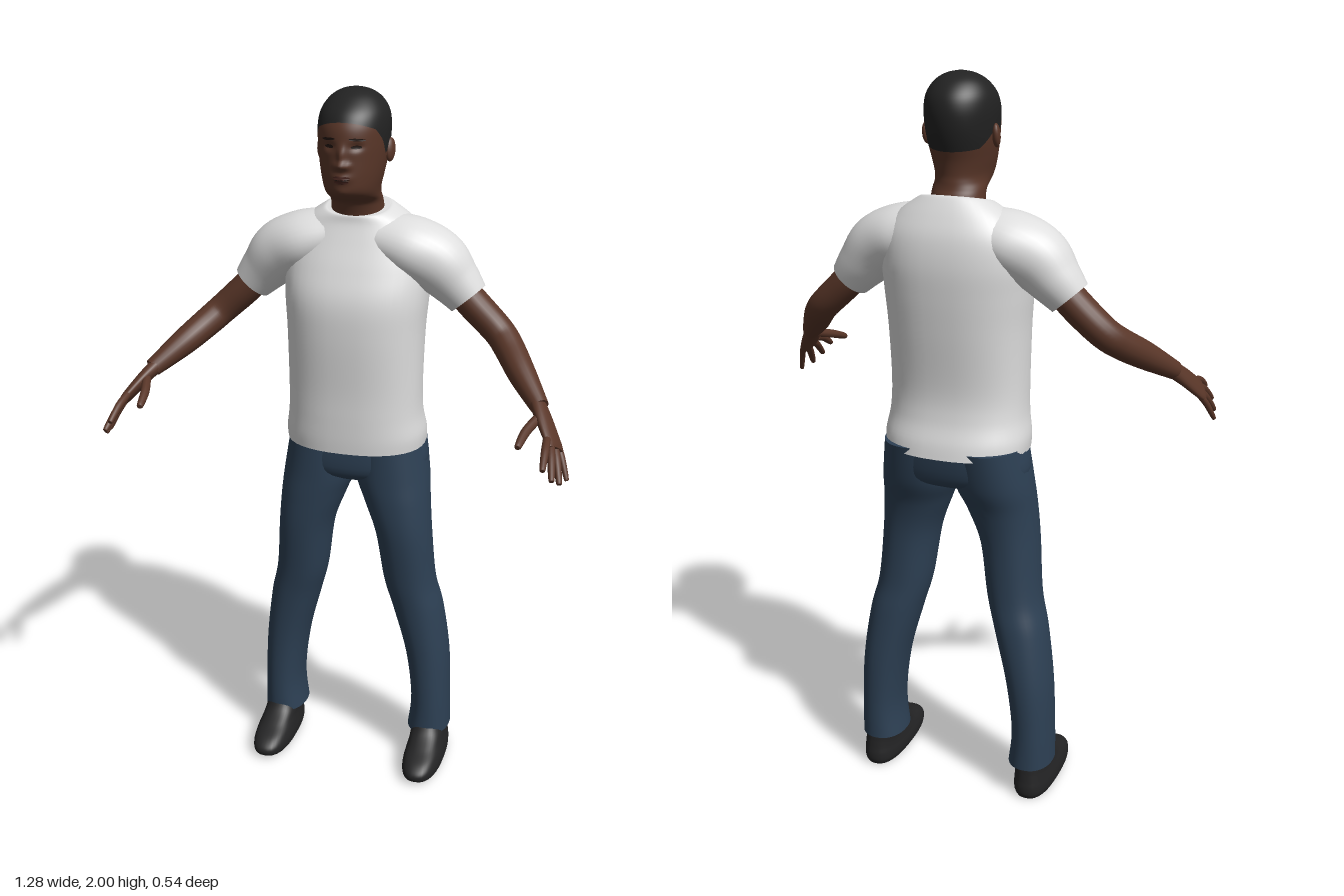
import * as THREE from 'three';

const mat = (name, color) => Object.assign(new THREE.MeshStandardMaterial({ color }), { name });

// Smooth numeric rows with a Catmull-Rom spline, k steps per span
function smooth(rows, k = 6) {
  const out = [], n = rows.length - 1;
  for (let i = 0; i < n; i++) {
    const [a, b, c, d] = [rows[Math.max(i - 1, 0)], rows[i], rows[i + 1], rows[Math.min(i + 2, n)]];
    for (let s = 0; s < k; s++) {
      const t = s / k;
      out.push(b.map((_, j) => {
        const cubic = 3 * (b[j] - c[j]) + d[j] - a[j];
        const square = 2 * a[j] - 5 * b[j] + 4 * c[j] - d[j];
        return b[j] + 0.5 * t * (c[j] - a[j] + t * (square + t * cubic));
      }));
    }
  }
  out.push(rows[n]);
  return out;
}

// Closed-around surface: fn(row, angle) gives a point, rows run upwards or outwards
function surface(rows, around, fn, side = 1) {
  const pos = [], index = [];
  for (let i = 0; i < rows; i++)
    for (let j = 0; j < around; j++) {
      const [x, y, z] = fn(i, j / around * Math.PI * 2);
      pos.push(x * side, y, z);
    }
  const tri = (a, b, c) => side > 0 ? index.push(a, b, c) : index.push(a, c, b);
  for (let i = 0; i < rows - 1; i++)
    for (let j = 0; j < around; j++) {
      const a = i * around + j, b = i * around + (j + 1) % around;
      tri(a, a + around, b);
      tri(a + around, b + around, b);
    }
  const g = new THREE.BufferGeometry();
  g.setAttribute('position', new THREE.Float32BufferAttribute(pos, 3));
  g.setIndex(index);
  g.computeVertexNormals();
  return g;
}

// Loft through rings {c, u, v, p}; both ends are closed with crisp caps
function loft(rings, around, side) {
  const dot = r => ({ ...r, u: new THREE.Vector3(), v: new THREE.Vector3() });
  const first = rings[0], last = rings[rings.length - 1];
  const all = [dot(first), first, ...rings, last, dot(last)];
  const pw = (n, p) => Math.sign(n) * Math.pow(Math.abs(n), 2 / p);
  return surface(all.length, around, (i, a) => {
    const { c, u, v, p } = all[i];
    return c.clone().addScaledVector(u, pw(Math.cos(a), p)).addScaledVector(v, pw(Math.sin(a), p)).toArray();
  }, side);
}

// Level rings: [y, xCentre, halfWidth, zFront, zBack, tilt]
function stack(rows, p = 2.3, side = 1) {
  return loft(smooth(rows).map(([y, x, w, f, b, tilt]) => ({
    c: new THREE.Vector3(x, y, (f + b) / 2),
    u: new THREE.Vector3(w, 0, 0),
    v: new THREE.Vector3(0, -tilt, (f - b) / 2), p,
  })), 40, side);
}

// Limb along a path: [x, y, z, radius along ref, other radius]
function limb(rows, ref, side, around = 20) {
  const pts = smooth(rows), V = r => new THREE.Vector3(r[0], r[1], r[2]);
  return loft(pts.map((r, i) => {
    const t = V(pts[Math.min(i + 1, pts.length - 1)]).sub(V(pts[Math.max(i - 1, 0)])).normalize();
    const u = ref.clone().addScaledVector(t, -ref.dot(t)).normalize();
    const v = u.clone().cross(t);
    return { c: V(r), u: u.multiplyScalar(r[3]), v: v.multiplyScalar(r[4]), p: 2 };
  }), around, side);
}

// Head profile: [y, halfWidth, zFront, zBack]
const HEAD = smooth([
  [1.63, 0.075, -0.06, -0.19], [1.69, 0.071, -0.045, -0.178], [1.712, 0.07, -0.03, -0.17],
  [1.73, 0.07, 0.015, -0.167], [1.75, 0.073, 0.038, -0.166], [1.785, 0.081, 0.042, -0.172],
  [1.83, 0.089, 0.042, -0.188], [1.87, 0.093, 0.042, -0.198], [1.91, 0.094, 0.037, -0.2],
  [1.945, 0.087, 0.018, -0.19], [1.975, 0.066, -0.018, -0.163], [1.993, 0.036, -0.055, -0.128],
  [2, 0, -0.092, -0.092]]);
function headRow(y) {
  let i = 1;
  while (i < HEAD.length - 1 && HEAD[i][0] < y) i++;
  const a = HEAD[i - 1], b = HEAD[i], t = Math.min(1, (y - a[0]) / (b[0] - a[0]));
  return a.map((n, j) => n + (b[j] - n) * t);
}
// Nose, nostrils, lips, chin and eye sockets: [x, y, depth, xSpread, ySpread]
const BUMPS = [[0, 1.818, 0.019, 0.013, 0.011], [0, 1.843, 0.012, 0.009, 0.02], [0, 1.785, 0.007, 0.022, 0.011],
  [0.016, 1.815, 0.006, 0.008, 0.008], [-0.016, 1.815, 0.006, 0.008, 0.008],
  [0.036, 1.864, -0.008, 0.015, 0.01], [-0.036, 1.864, -0.008, 0.015, 0.01], [0, 1.745, 0.004, 0.02, 0.012]];
const relief = (x, y) => BUMPS.reduce((sum, [bx, by, d, sx, sy]) => {
  const dx = (x - bx) / sx, dy = (y - by) / sy;
  return sum + d * Math.exp(-dx * dx - dy * dy);
}, 0);
function headPoint(y, a) {
  const [, w, f, b] = headRow(y), x = w * Math.cos(a), s = Math.sin(a);
  const bump = s > 0 ? relief(x, y) * Math.min(1, s * 2) : 0;
  return [x, y, (f + b) / 2 + (f - b) / 2 * s + bump];
}
const faceZ = (x, y) => headPoint(y, Math.acos(x / headRow(y)[1]))[2];

// Hairline height by how far forward the point lies (1 front, -1 back)
const LINE = [[-1, 1.808], [-0.6, 1.815], [-0.2, 1.852], [0, 1.846], [0.15, 1.838], [0.35, 1.875],
  [0.6, 1.905], [1, 1.924]];
function hairline(a) {
  const s = Math.sin(a);
  const i = Math.max(1, LINE.findIndex(l => l[0] >= s - 1e-9));
  const [p, q] = [LINE[i - 1], LINE[i]];
  return p[1] + (q[1] - p[1]) * (s - p[0]) / (q[0] - p[0]);
}

export function createModel() {
  const skin = mat('skin', 0x593628), hair = mat('hair', 0x222222), cotton = mat('white cotton', 0xdedede);
  const denim = mat('blue denim', 0x2d4054), leather = mat('black leather', 0x242425);
  const dark = mat('eye and brow', 0x20140f), lip = mat('lips', 0x4a2720);
  const model = new THREE.Group();
  model.name = 'standingMan';
  const add = (name, geometry, material, parent = model) => {
    const m = new THREE.Mesh(geometry, material);
    m.name = name;
    parent.add(m);
    return m;
  };

  // Head, split along the hairline
  const head = new THREE.Group();
  head.name = 'head';
  model.add(head);
  add('faceAndNeck', surface(64, 96, (i, a) =>
    headPoint(1.63 + (hairline(a) - 1.63) * i / 63, a)), skin, head);
  add('hairCap', surface(28, 96, (i, a) =>
    headPoint(2 - (2 - hairline(a)) * (1 - i / 27) ** 2, a)), hair, head);
  const patch = (name, x, y, w, h, tilt, material) => {
    const g = new THREE.CircleGeometry(1, 20).scale(w, h, 1).rotateZ(tilt).translate(x, y, 0);
    const p = g.attributes.position;
    for (let i = 0; i < p.count; i++) p.setZ(i, faceZ(p.getX(i), p.getY(i)) + 0.0025);
    g.computeVertexNormals();
    add(name, g, material, head);
  };
  patch('upperLip', 0, 1.787, 0.023, 0.005, 0, lip);
  patch('lowerLip', 0, 1.776, 0.02, 0.005, 0, lip);
  patch('mouthLine', 0, 1.7815, 0.023, 0.0013, 0, dark);
  for (const s of [1, -1]) {
    patch('eye', s * 0.036, 1.864, 0.013, 0.0045, 0, dark);
    patch('eyebrow', s * 0.038, 1.883, 0.02, 0.0035, s * -0.08, dark);
    const ear = add('ear', new THREE.SphereGeometry(1, 16, 12), skin, head);
    ear.scale.set(0.011, 0.031, 0.019);
    ear.position.set(s * 0.094, 1.843, -0.088);
    ear.rotation.set(-0.2, s * -0.25, 0);
  }

  // Shirt body
  add('shirtBody', stack([
    [1.022, 0, 0.198, 0.034, -0.27, 0], [1.06, 0, 0.199, 0.036, -0.262, 0], [1.12, 0, 0.19, 0.037, -0.243, 0],
    [1.2, 0, 0.188, 0.038, -0.236, 0], [1.35, 0, 0.191, 0.045, -0.25, 0], [1.45, 0, 0.198, 0.04, -0.258, 0],
    [1.53, 0, 0.2, 0.012, -0.26, 0], [1.6, 0, 0.188, -0.02, -0.25, 0], [1.65, 0, 0.15, -0.04, -0.228, 0.004],
    [1.683, 0, 0.1, -0.045, -0.203, 0.014], [1.687, 0, 0.083, -0.05, -0.193, 0.016]], 2.35), cotton);

  // Trousers
  add('hips', stack([[0.915, 0, 0.09, -0.04, -0.19, 0], [0.95, 0, 0.2, -0.002, -0.242, 0],
    [1.05, 0, 0.192, 0, -0.262, 0]]), denim);

  const zAxis = new THREE.Vector3(0, 0, 1), across = new THREE.Vector3(0.39, -0.47, -0.79).normalize();
  for (const s of [1, -1]) {
    const side = s > 0 ? 'left' : 'right';
    add(side + 'TrouserLeg', stack([
      [0.095, 0.23, 0.063, -0.045, -0.213, 0], [0.2, 0.233, 0.057, -0.045, -0.213, 0],
      [0.35, 0.22, 0.063, -0.043, -0.215, 0], [0.5, 0.19, 0.073, -0.035, -0.205, 0],
      [0.6, 0.165, 0.075, -0.024, -0.192, 0], [0.75, 0.147, 0.08, -0.005, -0.19, 0],
      [0.85, 0.125, 0.094, 0, -0.205, 0], [0.93, 0.106, 0.105, 0, -0.235, 0],
      [1.04, 0.096, 0.098, 0, -0.26, 0]], 2.2, s), denim);
    add(side + 'Shoe', stack([
      [0, 0.237, 0.05, 0.065, -0.205, 0], [0.014, 0.237, 0.057, 0.088, -0.212, 0],
      [0.034, 0.237, 0.058, 0.09, -0.213, 0], [0.054, 0.237, 0.055, 0.066, -0.21, 0],
      [0.075, 0.236, 0.051, 0.015, -0.207, 0], [0.1, 0.234, 0.049, -0.03, -0.203, 0],
      [0.13, 0.232, 0.04, -0.055, -0.19, 0]], 2.5, s), leather);
    add(side + 'Sleeve', limb([
      [0.07, 1.6, -0.125, 0.095, 0.072], [0.15, 1.58, -0.12, 0.106, 0.084], [0.22, 1.545, -0.12, 0.09, 0.086],
      [0.27, 1.495, -0.122, 0.071, 0.07], [0.308, 1.452, -0.12, 0.055, 0.057]], zAxis, s, 32), cotton);
    add(side + 'Arm', limb([
      [0.27, 1.49, -0.123, 0.045, 0.044], [0.33, 1.43, -0.121, 0.046, 0.044], [0.395, 1.37, -0.112, 0.043, 0.042],
      [0.432, 1.335, -0.078, 0.041, 0.041], [0.48, 1.29, -0.01, 0.038, 0.037],
      [0.542, 1.234, 0.07, 0.025, 0.025]], zAxis, s), skin);

    // Hand
    const hand = new THREE.Group();
    hand.name = side + 'Hand';
    model.add(hand);
    add('palm', limb([[0.53, 1.245, 0.055, 0.023, 0.021], [0.56, 1.21, 0.1, 0.034, 0.018],
      [0.592, 1.168, 0.146, 0.039, 0.014], [0.602, 1.156, 0.16, 0.034, 0.008]], across, s), skin, hand);
    const finger = (name, a, b, c, r) => {
      const tip = c.map((n, i) => n + (n - b[i]) * 0.1);
      const rows = [[...a, r, r], [...b, r, r], [...c, r * 0.75, r * 0.75], [...tip, r * 0.3, r * 0.3]];
      add(name, limb(rows, across, s, 10), skin, hand);
    };
    const tips = { indexFinger: [0.585, 1.142, 0.263], middleFinger: [0.607, 1.112, 0.25],
      ringFinger: [0.622, 1.092, 0.216], littleFinger: [0.634, 1.083, 0.167] };
    Object.entries(tips).forEach(([name, tip], i) => {
      const base = new THREE.Vector3(0.59, 1.17, 0.144).addScaledVector(across, -0.029 + i * 0.0193).toArray();
      const mid = base.map((n, k) => (n + tip[k]) / 2 + (k === 1 ? 0.006 : 0));
      finger(name, base, mid, tip, i === 3 ? 0.0085 : 0.0105);
    });
    finger('thumb', [0.55, 1.22, 0.095], [0.525, 1.2, 0.165], [0.515, 1.18, 0.222], 0.0125);
  }
  return model;
}
